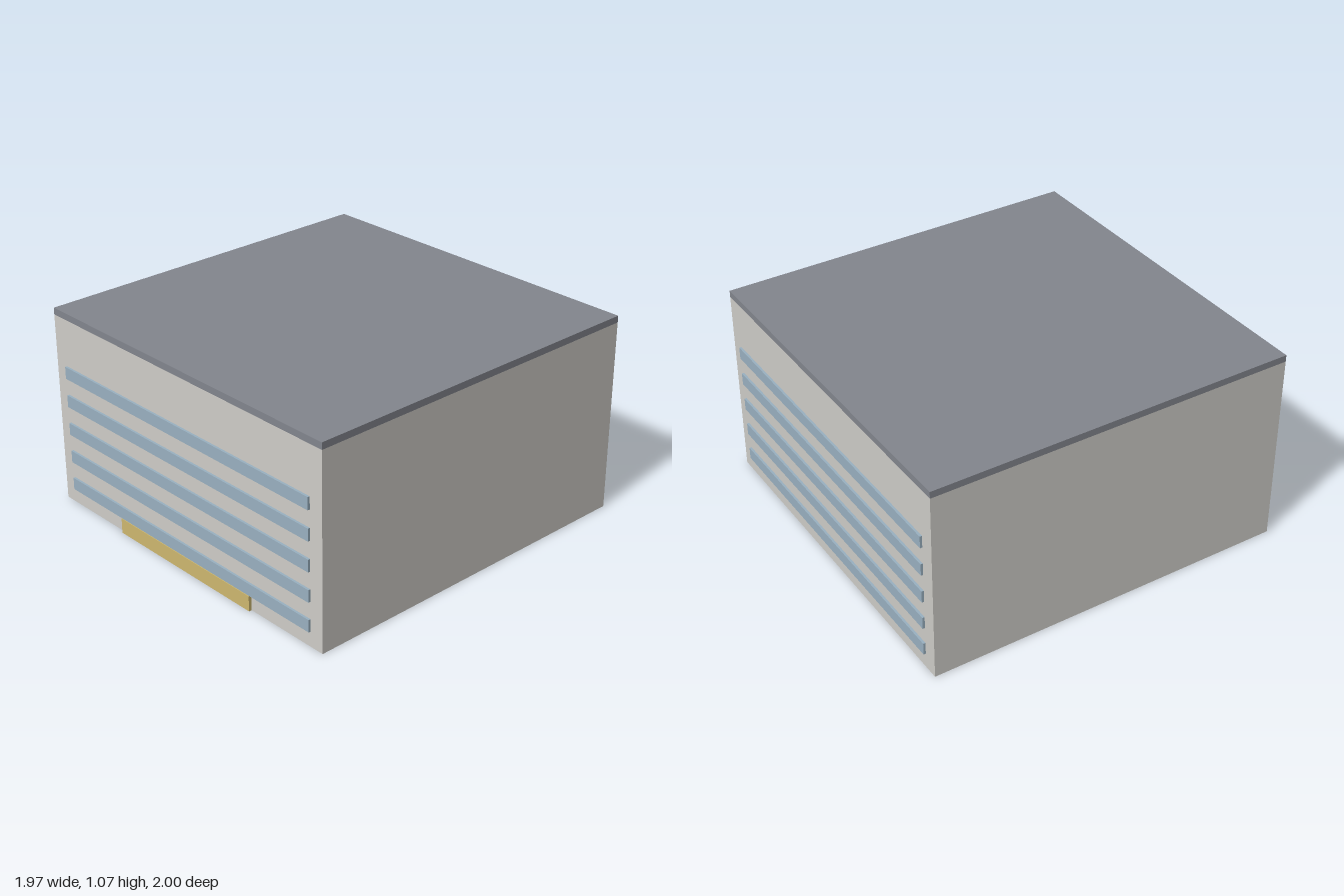
import * as THREE from 'three';

const WIDTH = 1.967, BACK = -0.988, FRONT = 0.984;
const WALL_TOP = 1.037, ROOF_TOP = 1.073;

const material = (color) => new THREE.MeshStandardMaterial({ color });

// Box given by its width and its extents in y and z, centred on x = 0
function slab(name, width, y0, y1, z0, z1, mat) {
  const mesh = new THREE.Mesh(new THREE.BoxGeometry(width, y1 - y0, z1 - z0), mat);
  mesh.position.set(0, (y0 + y1) / 2, (z0 + z1) / 2);
  mesh.name = name;
  return mesh;
}

export function createModel() {
  const building = new THREE.Group();
  building.name = 'building';
  const wall = material(0xcfcdc8), roof = material(0x83868e);
  const glass = material(0x9ab1c1), gold = material(0xceb870);

  // Main block and flat roof
  building.add(slab('walls', WIDTH, 0, WALL_TOP, BACK, FRONT, wall));
  building.add(slab('roof', WIDTH, WALL_TOP, ROOF_TOP, BACK, FRONT, roof));

  // Window bands, five storeys on the front and back
  for (let i = 0; i < 5; i++) {
    const y = 0.082 + i * 0.158;
    building.add(slab('frontWindowBand', 1.808, y, y + 0.066, FRONT - 0.01, FRONT + 0.012, glass));
    building.add(slab('backWindowBand', 1.808, y, y + 0.066, BACK - 0.012, BACK + 0.01, glass));
  }

  // Low entrance at the foot of the front wall
  building.add(slab('entrance', 0.984, 0, 0.082, FRONT - 0.01, 1, gold));
  return building;
}
